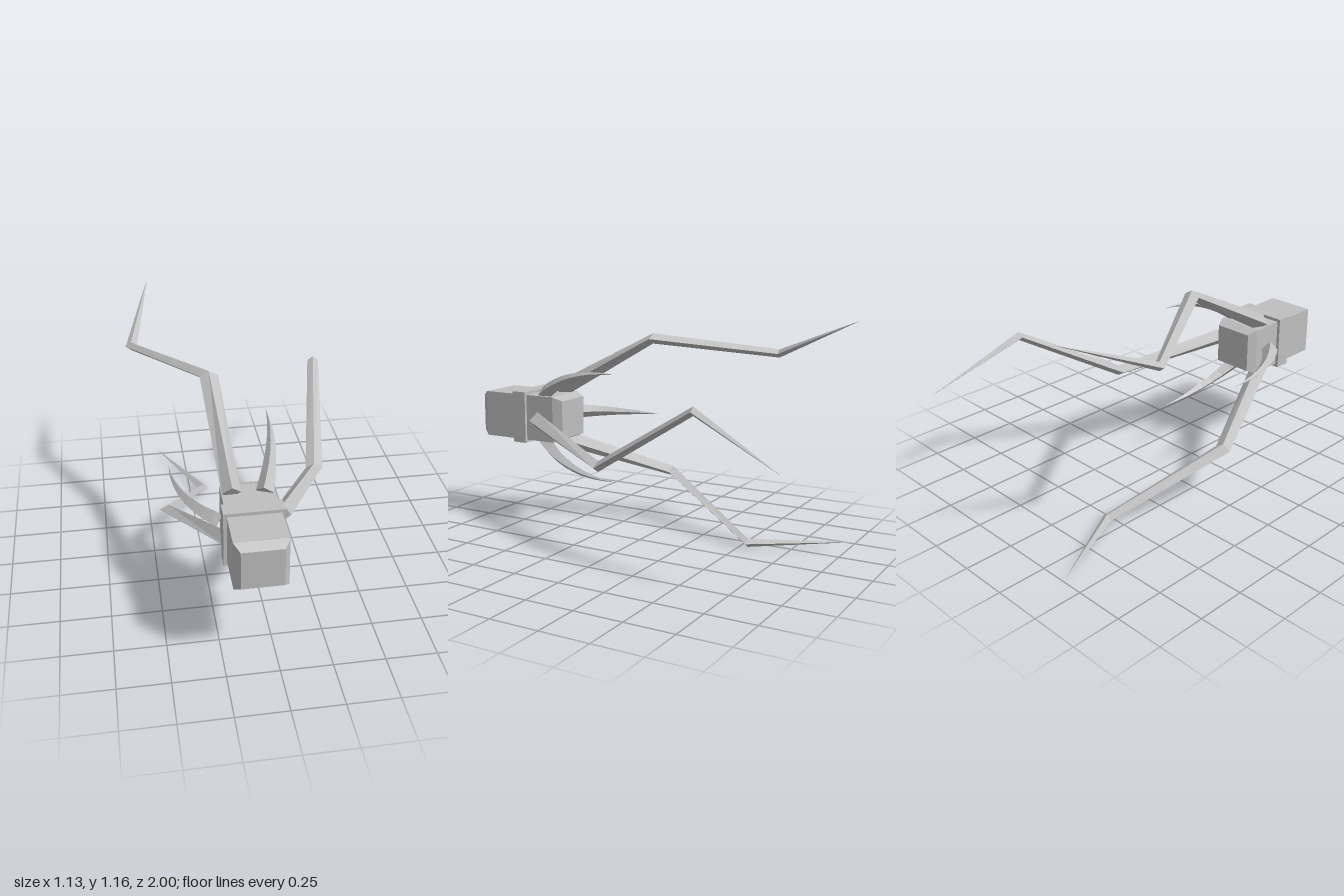
import * as THREE from 'three';

const V = (x, y, z) => new THREE.Vector3(x, y, z);
const UP = V(0, 1, 0);

// Diamond ring square to direction d
function diamond(c, d, r) {
  const dir = d.clone().normalize();
  const u = UP.clone().cross(dir).normalize();
  const v = dir.clone().cross(u);
  return corners(c, u.multiplyScalar(r), v.multiplyScalar(r));
}

// Diamond ring in a plane facing z
function flatDiamond(c, hx, hy) {
  return corners(c, V(-hx, 0, 0), V(0, hy, 0));
}

function corners(c, u, v) {
  return [c.clone().add(u), c.clone().add(v), c.clone().sub(u), c.clone().sub(v)];
}

// Square ring facing z
function square(h, z) {
  return [V(-h, h, z), V(h, h, z), V(h, -h, z), V(-h, -h, z)];
}

// Faceted solid through a row of four-cornered rings, capped at both ends
function loft(rings) {
  const pos = [];
  const quad = (a, b, c, d) => [a, b, c, a, c, d].forEach(p => pos.push(p.x, p.y, p.z));
  for (let k = 0; k < rings.length - 1; k++) {
    const a = rings[k], b = rings[k + 1];
    for (let i = 0; i < 4; i++) {
      const j = (i + 1) % 4;
      quad(a[i], a[j], b[j], b[i]);
    }
  }
  const s = rings[0], e = rings[rings.length - 1];
  quad(s[3], s[2], s[1], s[0]);
  quad(e[0], e[1], e[2], e[3]);
  const g = new THREE.BufferGeometry();
  g.setAttribute('position', new THREE.Float32BufferAttribute(pos, 3));
  g.computeVertexNormals();
  return g;
}

export function createModel() {
  const model = new THREE.Group();
  model.name = 'clawDevice';
  const grey = new THREE.MeshStandardMaterial({ color: 0xbfbfbf });
  grey.name = 'grey';

  const assembly = new THREE.Group();
  assembly.name = 'assembly';
  assembly.position.set(-0.085, 0.598, 0);
  model.add(assembly);
  const add = (name, geometry) => {
    const mesh = new THREE.Mesh(geometry, grey);
    mesh.name = name;
    assembly.add(mesh);
    return mesh;
  };

  // Bevelled square body and its collar
  add('body', loft([square(0.097, 1), square(0.124, 0.96), square(0.124, 0.52), square(0.103, 0.47)]));
  add('collar', new THREE.BoxGeometry(0.28, 0.28, 0.08)).position.z = 0.73;

  const Z = V(0, 0, 1);
  for (let n = 0; n < 3; n++) {
    const turn = (x, y, z, extra = 0) => V(x, y, z).applyAxisAngle(Z, n * Math.PI * 2 / 3 + extra);

    // Long jointed arm
    const [p0, p1, p2, p3] = [
      turn(0.157, 0, 0.6), turn(0.438, -0.1315, 0.03), turn(0.542, 0.21, -0.54), turn(0.65, 0, -1)
    ];
    add('arm' + (n + 1), loft([
      diamond(p0, p1.clone().sub(p0), 0.045),
      flatDiamond(p1, 0.045, 0.027),
      flatDiamond(p2, 0.03, 0.022),
      flatDiamond(p3, 0.0005, 0.0005)
    ]));

    // Short curved claw between the arms
    const curve = new THREE.QuadraticBezierCurve3(
      turn(0.15, 0, 0.6, Math.PI / 3), turn(0.325, 0, 0.4, Math.PI / 3), turn(0.325, 0, 0.11, Math.PI / 3));
    const rings = [];
    for (let i = 0; i <= 8; i++) {
      const t = i / 8;
      rings.push(diamond(curve.getPoint(t), curve.getTangent(t), 0.042 * (1 - t) + 0.0005));
    }
    add('claw' + (n + 1), loft(rings));
  }
  return model;
}
